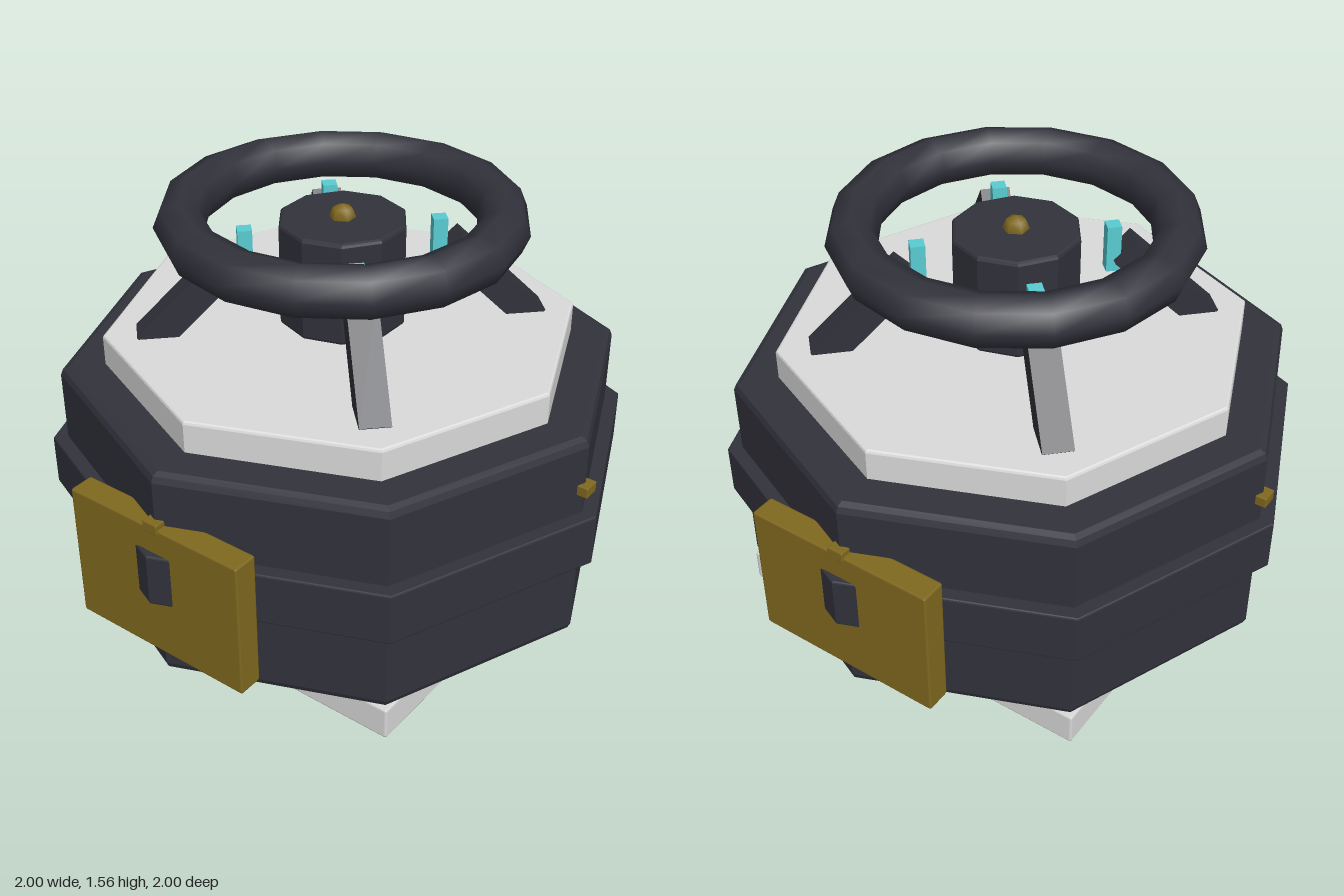
import * as THREE from 'three';
import { RoundedBoxGeometry } from 'three/addons/geometries/RoundedBoxGeometry.js';

const material = (name, color) => {
  const m = new THREE.MeshStandardMaterial({ color });
  m.name = name;
  return m;
};

export function createModel() {
  const group = new THREE.Group();
  const dark = material('charcoal', 0x31323b);
  const pale = material('light grey', 0xdadada);
  const gold = material('dull gold', 0x80691f);
  const cyan = material('cyan', 0x58ccd2);

  const add = (name, geometry, mat, x = 0, y = 0, z = 0) => {
    const mesh = new THREE.Mesh(geometry, mat);
    mesh.name = name;
    mesh.position.set(x, y, z);
    group.add(mesh);
    return mesh;
  };

  // Faceted drum with two-step bevelled rims
  const drum = (radius, y0, y1, bevel, sides) => {
    const b = bevel, c = bevel * 0.3;
    const profile = [
      [0, y0], [radius - b, y0], [radius - c, y0 + c], [radius, y0 + b],
      [radius, y1 - b], [radius - c, y1 - c], [radius - b, y1], [0, y1],
    ].map(([r, y]) => new THREE.Vector2(r, y));
    const g = new THREE.LatheGeometry(profile, sides).toNonIndexed();
    g.computeVertexNormals();
    return g;
  };
  const block = (w, h, d, r = 0.008) => new RoundedBoxGeometry(w, h, d, 1, r);

  // Stacked body
  add('foot', drum(0.49, 0, 0.12, 0.015, 8), dark);
  add('basePlate', block(1.36, 0.12, 1.36, 0.01), pale, 0, 0.16, 0);
  add('body', drum(0.95, 0.22, 0.99, 0.03, 8), dark);
  add('beltBand', drum(1.0, 0.53, 0.715, 0.006, 8), dark);
  add('topPlate', drum(0.8, 0.98, 1.1, 0.01, 8), pale);

  // Hub with its centre stud
  add('hub', drum(0.215, 1.115, 1.475, 0.012, 10), dark);
  const stud = add('hubStud', new THREE.SphereGeometry(0.045, 6, 4), gold, 0, 1.475, 0);
  stud.rotation.y = Math.PI / 2;

  // Hand wheel
  const ring = new THREE.TorusGeometry(0.525, 0.085, 8, 16).rotateX(-Math.PI / 2);
  add('handWheel', ring, dark, 0, 1.475, 0);

  // Four leaning struts, each with a small light at its upper end
  for (let i = 0; i < 4; i++) {
    const arm = new THREE.Group();
    arm.name = 'strutArm';
    arm.rotation.y = Math.PI / 4 + i * Math.PI / 2;
    const strut = new THREE.Mesh(new THREE.BoxGeometry(0.1, 0.42, 0.1), dark);
    strut.name = 'strut';
    strut.position.set(0.504, 1.218, 0);
    strut.rotation.z = Math.PI / 4;
    const light = new THREE.Mesh(new THREE.BoxGeometry(0.048, 0.165, 0.048), cyan);
    light.name = 'strutLight';
    light.position.set(0.32, 1.372, 0);
    arm.add(strut, light);
    group.add(arm);
  }

  // Front and back clasp plates
  for (const s of [1, -1]) {
    add('claspPlate', block(0.68, 0.49, 0.088), gold, 0, 0.563, s * 0.927);
  }

  // Small tabs on the four axis corners
  for (let i = 0; i < 4; i++) {
    const a = i * Math.PI / 2;
    const tab = add('cornerTab', block(0.058, 0.038, 0.06, 0.004), gold,
      Math.sin(a) * 0.945, 0.808, Math.cos(a) * 0.945);
    tab.rotation.y = a;
  }

  return group;
}
